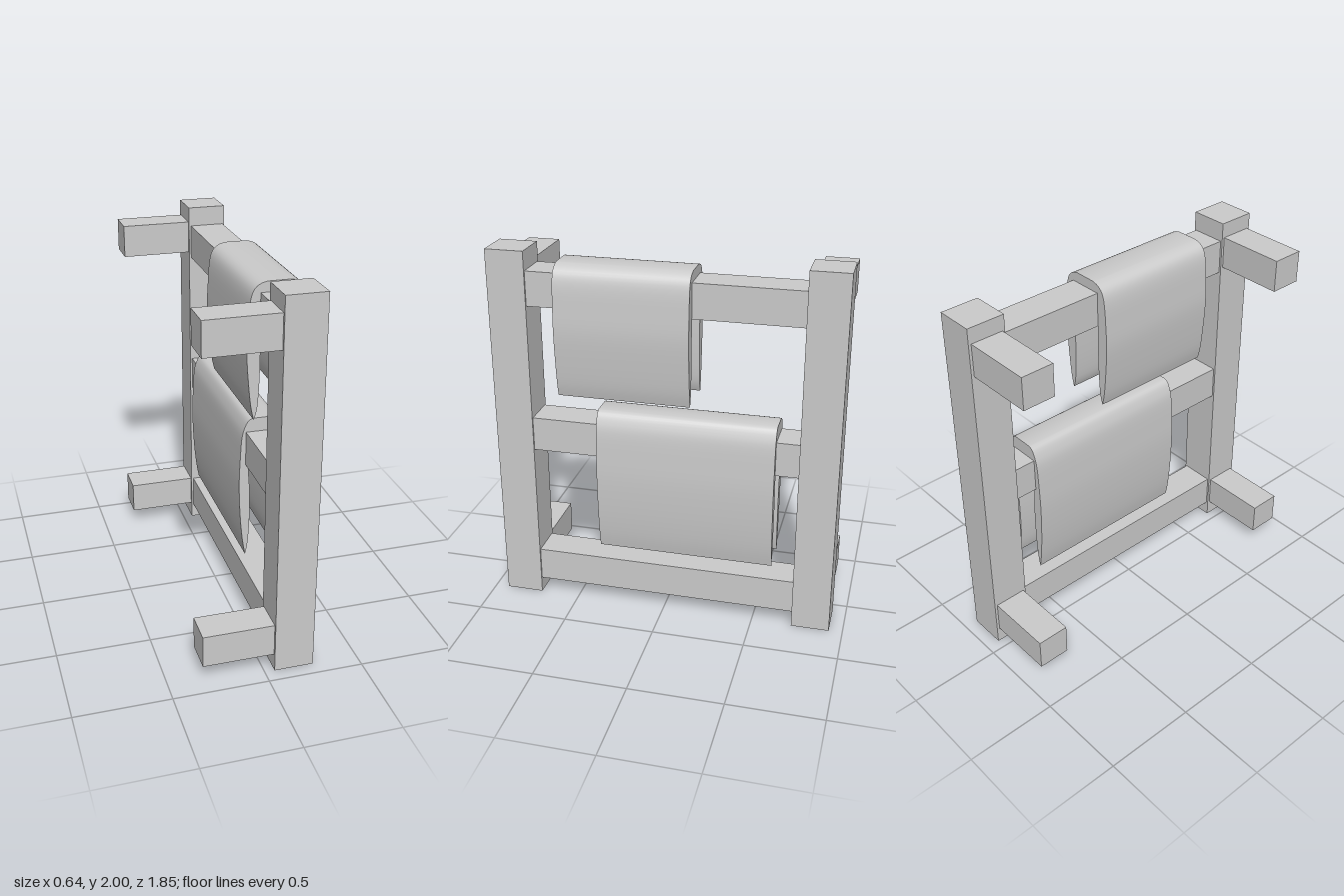
import * as THREE from 'three';
import { toCreasedNormals } from 'three/addons/utils/BufferGeometryUtils.js';

const CX = 0.157; // centre plane of the frame in x

export function createModel() {
  const model = new THREE.Group();
  const material = new THREE.MeshStandardMaterial({ color: 0xcccccc });

  const add = (name, geometry) => {
    const mesh = new THREE.Mesh(geometry, material);
    mesh.name = name;
    model.add(mesh);
    return mesh;
  };

  // Box given by its limits on each axis
  const bar = (name, [x0, x1], [y0, y1], [z0, z1]) =>
    add(name, new THREE.BoxGeometry(x1 - x0, y1 - y0, z1 - z0))
      .position.set((x0 + x1) / 2, (y0 + y1) / 2, (z0 + z1) / 2);

  // Uprights with two wall brackets each
  for (const [side, s] of [['front', 1], ['back', -1]]) {
    const span = (a, b) => (s > 0 ? [a, b] : [-b, -a]);
    bar(side + 'Post', [0.053, 0.26], [0, 2], span(0.72, 0.926));
    bar(side + 'LowerBracket', [-0.322, 0.053], [0.09, 0.265], span(0.735, 0.911));
    bar(side + 'UpperBracket', [-0.322, 0.053], [1.74, 1.916], span(0.735, 0.911));
  }

  // Cross rails
  bar('bottomRail', [0.064, 0.25], [0.085, 0.271], [-0.72, 0.72]);
  bar('middleRail', [0.064, 0.25], [0.898, 1.085], [-0.72, 0.72]);
  bar('topRail', [0.064, 0.25], [1.71, 1.896], [-0.72, 0.72]);

  // Towel folded over a rail: half outline (offset from the centre plane, y), mirrored and extruded
  const towel = (name, outer, inner, z0, z1) => {
    const curve = (pts, n) =>
      new THREE.SplineCurve(pts.map(([x, y]) => new THREE.Vector2(x, y))).getPoints(n);
    const mirror = (pts) => pts.map((p) => new THREE.Vector2(-p.x, p.y)).reverse();
    const out = curve(outer, 24); // top to hem
    const inn = curve(inner, 14).slice(1); // hem to underside of the fold
    const outline = [...out, ...inn, ...mirror(inn), ...mirror(out)];
    const geometry = new THREE.ExtrudeGeometry(new THREE.Shape(outline), {
      depth: z1 - z0, bevelEnabled: false,
    });
    add(name, toCreasedNormals(geometry, 0.6)).position.set(CX, 0, z0);
  };

  towel('upperTowel',
    [[0.06, 1.95], [0.1, 1.937], [0.13, 1.905], [0.146, 1.84], [0.154, 1.72], [0.158, 1.6],
      [0.148, 1.45], [0.134, 1.32], [0.118, 1.245]],
    [[0.118, 1.245], [0.102, 1.3], [0.093, 1.42], [0.09, 1.58], [0.092, 1.75], [0.092, 1.89]],
    -0.15, 0.557);

  towel('lowerTowel',
    [[0.055, 1.16], [0.08, 1.148], [0.1, 1.11], [0.115, 1.05], [0.123, 0.92], [0.127, 0.78],
      [0.12, 0.6], [0.106, 0.45], [0.09, 0.355]],
    [[0.09, 0.355], [0.076, 0.43], [0.068, 0.58], [0.069, 0.74], [0.08, 0.9], [0.085, 1.075]],
    -0.597, 0.36);

  return model;
}
